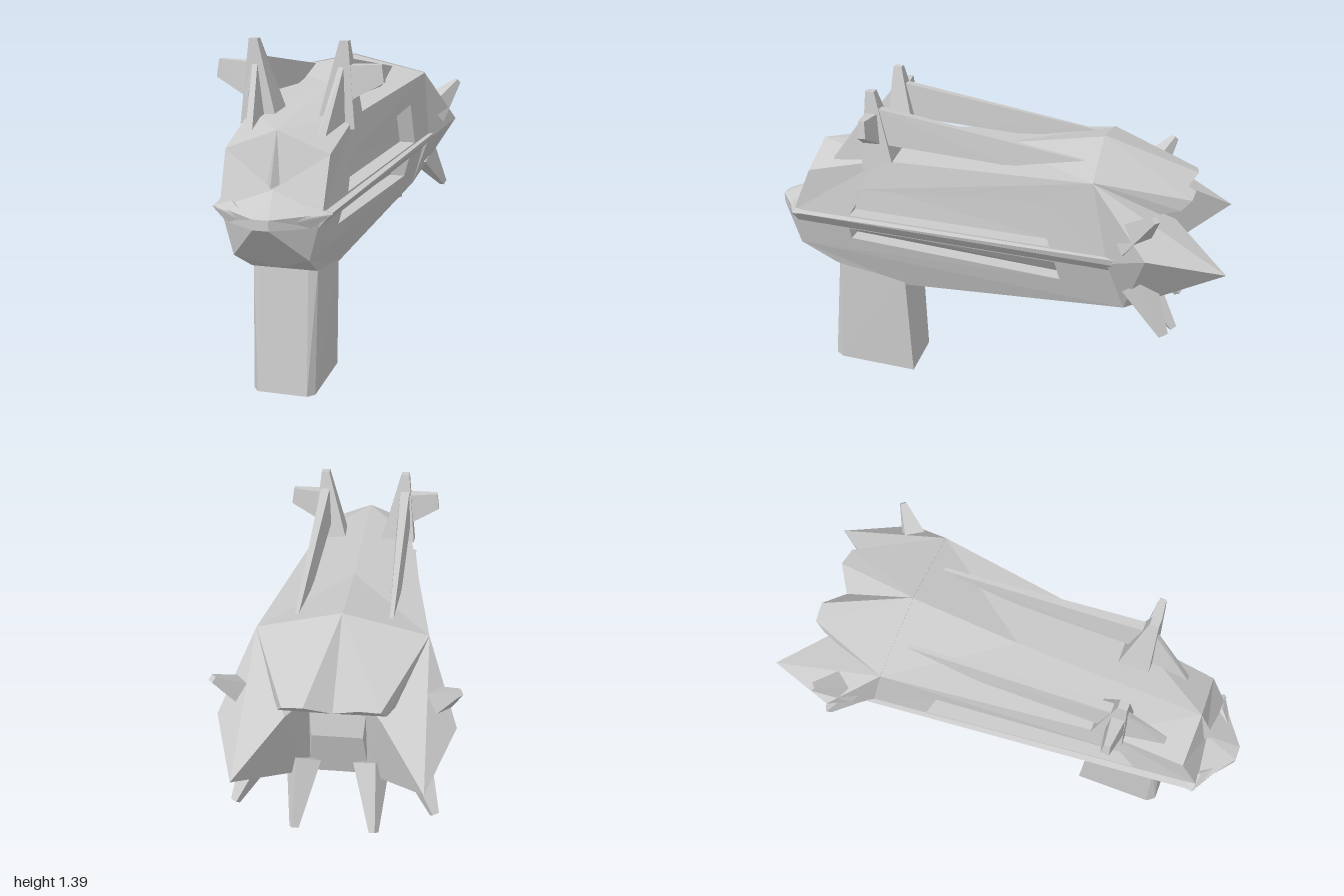
import * as THREE from 'three';
import { ConvexGeometry } from 'three/addons/geometries/ConvexGeometry.js';

const V = (x, y, z) => new THREE.Vector3(x, y, z);
const mat = new THREE.MeshStandardMaterial({ color: 0xcccccc, flatShading: true });
const matOpen = new THREE.MeshStandardMaterial({ color: 0xcccccc, flatShading: true, side: THREE.DoubleSide });

// Faceted convex part from a few corner points; s = -1 mirrors it in x
function hull(group, name, pts, s = 1) {
  const mesh = new THREE.Mesh(new ConvexGeometry(pts.map(([x, y, z]) => V(x * s, y, z))), mat);
  mesh.name = name;
  group.add(mesh);
}

// Tapered four-sided spike from base to tip
function spike(group, name, base, tip, rBase, rTip, s) {
  const a = V(base[0] * s, base[1], base[2]), b = V(tip[0] * s, tip[1], tip[2]);
  const dir = b.clone().sub(a);
  const mesh = new THREE.Mesh(new THREE.CylinderGeometry(rTip, rBase, dir.length(), 4), mat);
  mesh.position.copy(a).add(b).multiplyScalar(0.5);
  mesh.quaternion.setFromUnitVectors(V(0, 1, 0), dir.normalize());
  mesh.name = name;
  group.add(mesh);
}

// Left half of the body shell as triangles
function bodyHalf() {
  const tris = [];
  const face = (...p) => { for (let i = 1; i < p.length - 1; i++) tris.push(p[0], p[i], p[i + 1]); };

  // Four-cornered panel with a recessed slot; slot corners are (u, v, depth) in the panel
  const slotPanel = (o, slot) => {
    const h = slot.map(([u, v]) => o[0].clone().lerp(o[3], u).lerp(o[1].clone().lerp(o[2], u), v));
    const f = h.map((p, i) => V(p.x - slot[i][2], p.y, p.z));
    for (let i = 0; i < 4; i++) {
      const j = (i + 1) % 4;
      face(o[i], o[j], h[j], h[i]);
      face(h[i], h[j], f[j], f[i]);
    }
    face(...f);
  };

  // Top ridge, shoulder, rail seat, lower edge and keel points
  const C0 = V(0, 1.1, 0.79), C1 = V(0, 1.14, 0), C2 = V(0, 1.21, -0.46);
  const S0 = V(0.2, 1.02, 0.79), S1 = V(0.215, 1.1, 0.45), S2 = V(0.335, 1.135, -0.46);
  const R0 = V(0.195, 0.82, 0.88), R2 = V(0.35, 0.82, -0.53);
  const Q0 = V(0.178, 0.768, 0.88), Q2 = V(0.322, 0.76, -0.55);
  const L0 = V(0.145, 0.64, 0.88), L2 = V(0.265, 0.56, -0.6);
  const B0 = V(0, 0.575, 0.8), Ba = V(0, 0.545, 0.72), Bc = V(0, 0.47, 0.4), Bb = V(0, 0.56, -0.6);
  const A1 = V(0.13, 0.545, 0.72), B1 = V(0.13, 0.47, 0.4);
  const K = V(0, 0.89, 0.85);
  const N0 = V(0, 0.82, 1), N1 = V(0.03, 0.82, 1), N2 = V(0.03, 0.78, 1), M0 = V(0, 0.78, 1);

  // Top
  face(C0, S0, S1); face(C0, S1, C1); face(C1, S1, S2); face(C1, S2, C2);
  // Sides with slots
  face(S0, R0, S1);
  slotPanel([S1, R0, R2, S2], [[0.08, 0.52, 0.07], [0.18, 0.95, 0.07], [0.83, 0.95, 0.07], [0.77, 0.34, 0.07]]);
  slotPanel([Q0, L0, L2, Q2], [[0.18, 0.04, 0.03], [0.18, 0.42, 0.07], [0.83, 0.52, 0.07], [0.83, 0.04, 0.03]]);
  // Snout
  face(C0, K, S0); face(K, R0, S0); face(K, N1, R0); face(K, N0, N1);
  face(N0, M0, N2, N1); face(N1, N2, Q0, R0); face(N2, L0, Q0); face(M0, B0, L0, N2);
  // Underside
  face(B0, A1, L0); face(B0, Ba, A1); face(Ba, Bc, B1, A1);
  face(L0, A1, B1, L2); face(B1, Bc, Bb, L2);
  return tris;
}

function buildBody() {
  const half = bodyHalf();
  const other = [];
  for (let i = 0; i < half.length; i += 3)
    for (const k of [0, 2, 1]) other.push(V(-half[i + k].x, half[i + k].y, half[i + k].z));
  const geo = new THREE.BufferGeometry().setFromPoints([...half, ...other]);
  geo.computeVertexNormals();
  const mesh = new THREE.Mesh(geo, matOpen);
  mesh.name = 'body';
  return mesh;
}

// Everything that exists once per side
function buildSide(s) {
  const g = new THREE.Group();
  g.name = s > 0 ? 'leftSide' : 'rightSide';

  // Long side rail, undercut below, and its pointed front end
  hull(g, 'sideRail', [
    [0.222, 0.82, 0.88], [0.17, 0.83, 0.88], [0.178, 0.766, 0.87], [0.15, 0.766, 0.87],
    [0.372, 0.828, -0.57], [0.365, 0.8, -0.58], [0.3, 0.835, -0.55], [0.322, 0.758, -0.55], [0.28, 0.758, -0.55]], s);
  hull(g, 'railTip', [
    [0.215, 0.815, 0.8], [0.23, 0.82, 0.87], [0.15, 0.848, 0.88], [0.15, 0.765, 0.9],
    [0.05, 0.81, 0.97], [0.05, 0.79, 0.97], [0.1, 0.8, 0.82]], s);

  // Horn with front fin, rear fin and outward prong
  hull(g, 'horn', [
    [0.08, 1.1, 0.4], [0.23, 1.1, 0.4], [0.08, 1.07, 0.535], [0.23, 1.06, 0.535],
    [0.163, 1.393, 0.475], [0.197, 1.393, 0.475], [0.163, 1.393, 0.512], [0.197, 1.393, 0.512]], s);
  hull(g, 'hornFrontFin', [
    [0.125, 1.05, 0.71], [0.155, 1.05, 0.7], [0.165, 1.32, 0.5], [0.185, 1.32, 0.5],
    [0.13, 1.08, 0.52], [0.195, 1.08, 0.52]], s);
  hull(g, 'hornRearFin', [
    [0.16, 1.325, 0.48], [0.2, 1.325, 0.48], [0.15, 1.17, 0.42], [0.21, 1.17, 0.42],
    [0.165, 1.125, -0.1], [0.205, 1.125, -0.1], [0.177, 1.17, -0.4], [0.192, 1.17, -0.4]], s);
  hull(g, 'hornProng', [
    [0.17, 1.3, 0.52], [0.17, 1.3, 0.46], [0.2, 1.165, 0.53], [0.2, 1.165, 0.45],
    [0.325, 1.308, 0.5], [0.325, 1.308, 0.475], [0.335, 1.238, 0.505], [0.335, 1.238, 0.47]], s);

  // Flared rear pod with backward point and a steep inner face
  hull(g, 'rearPod', [
    [0.335, 1.135, -0.46], [0.35, 0.8, -0.53], [0.265, 0.56, -0.6], [0.457, 0.88, -0.69],
    [0.35, 0.805, -1], [0.11, 0.56, -0.6], [0.08, 0.95, -0.6], [0.18, 0.95, -0.78]], s);

  // Lobe of the notched rear hood
  hull(g, 'rearHood', [
    [0, 1.215, -0.455], [0.335, 1.138, -0.46], [0.1, 1.045, -0.85], [0.18, 1.035, -0.84],
    [0, 0.985, -0.79], [0.2, 0.995, -0.8], [0, 0.95, -0.5], [0.3, 0.95, -0.5]], s);

  // Rear spikes
  spike(g, 'upperSpike', [0.34, 0.92, -0.61], [0.457, 1.062, -0.72], 0.085, 0.018, s);
  spike(g, 'lowerSpike', [0.3, 0.7, -0.66], [0.392, 0.525, -0.78], 0.075, 0.02, s);
  spike(g, 'innerSpike', [0.135, 0.66, -0.65], [0.158, 0.43, -0.805], 0.075, 0.02, s);
  return g;
}

export function createModel() {
  const model = new THREE.Group();
  model.name = 'spikedHandpiece';
  model.add(buildBody());
  for (const s of [1, -1]) model.add(buildSide(s));

  // Wall between the rear pods
  const wall = [];
  for (const s of [1, -1])
    wall.push([0.12 * s, 0.56, -0.6], [0.12 * s, 0.98, -0.62], [0.1 * s, 0.78, -0.66], [0.12 * s, 0.75, -0.5]);
  hull(model, 'rearWall', wall);

  // Small ridge on top of the snout
  hull(model, 'snoutRidge', [
    [0, 1.1, 0.79], [0.025, 0.91, 0.84], [-0.025, 0.91, 0.84], [0, 0.9, 0.88], [0, 1.02, 0.825]]);

  // Grip: box section with narrow front chamfers, slightly longer at the foot
  const grip = [];
  for (const s of [1, -1]) {
    grip.push([0.095 * s, 0.57, 0.72], [0.13 * s, 0.57, 0.7], [0.135 * s, 0.5, 0.4]);
    grip.push([0.1 * s, 0.04, 0.77], [0.125 * s, 0.035, 0.735], [0.125 * s, 0.01, 0.38]);
  }
  grip.push([0, 0, 0.4]);
  hull(model, 'grip', grip);
  return model;
}
